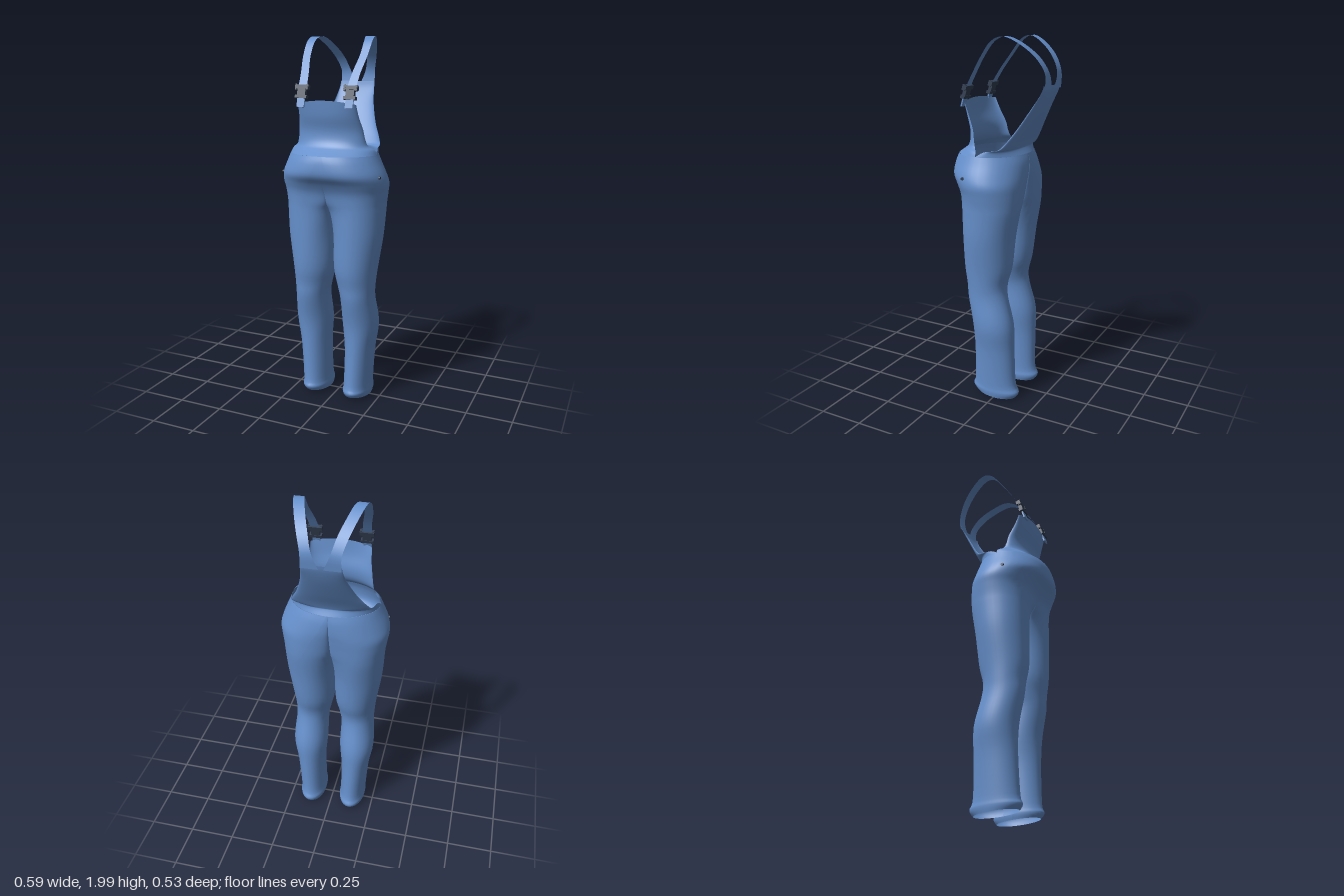
import * as THREE from 'three';

const denim = new THREE.MeshStandardMaterial({ color: 0x6690cc, side: THREE.DoubleSide });
denim.name = 'blue denim';
const dark = new THREE.MeshStandardMaterial({ color: 0x333f52 });
dark.name = 'dark buckle';

// Smoothly resample a table of rows (Catmull-Rom per column)
function resample(rows, steps) {
  const out = [], at = i => rows[Math.max(0, Math.min(rows.length - 1, i))];
  for (let i = 0; i < rows.length - 1; i++) {
    for (let s = 0; s < steps; s++) {
      const t = s / steps;
      out.push(rows[i].map((b, c) => {
        const a = at(i - 1)[c], d = at(i + 1)[c], e = at(i + 2)[c];
        return b + 0.5 * t * (d - a + t * (2 * a - 5 * b + 4 * d - e + t * (3 * (b - d) + e - a)));
      }));
    }
  }
  out.push(rows[rows.length - 1]);
  return out;
}

// Skin a list of equally long point lists
function loft(name, sections, material = denim) {
  const n = sections[0].length, index = [];
  for (let i = 0; i < sections.length - 1; i++) {
    for (let j = 0; j < n - 1; j++) {
      const a = i * n + j, b = a + n;
      index.push(a, a + 1, b, a + 1, b + 1, b);
    }
  }
  const g = new THREE.BufferGeometry();
  g.setAttribute('position', new THREE.Float32BufferAttribute(sections.flat(2), 3));
  g.setIndex(index);
  g.computeVertexNormals();
  const mesh = new THREE.Mesh(g, material);
  mesh.name = name;
  return mesh;
}

// y, inner x, middle x, outer x, front z, back z, front and back closing at the centre (0 leg, 1 torso)
const LEG = [
  [0.02, 0.05, 0.12, 0.195, 0.13, -0.11, 0, 0],
  [0.05, 0.045, 0.125, 0.2, 0.15, -0.13, 0, 0],
  [0.1, 0.05, 0.125, 0.2, 0.137, -0.11, 0, 0],
  [0.3, 0.052, 0.135, 0.215, 0.13, -0.105, 0, 0],
  [0.45, 0.04, 0.14, 0.238, 0.135, -0.1, 0, 0],
  [0.6, 0.04, 0.135, 0.228, 0.165, -0.062, 0, 0],
  [0.68, 0.025, 0.13, 0.23, 0.172, -0.055, 0, 0],
  [0.78, 0.004, 0.125, 0.24, 0.187, -0.08, 0, 0],
  [0.95, 0, 0.125, 0.265, 0.19, -0.1, 0, 0],
  [1.08, 0, 0.13, 0.274, 0.19, -0.12, 0.5, 0.4],
  [1.14, 0, 0.125, 0.278, 0.193, -0.127, 0.86, 0.65],
  [1.2, 0, 0.11, 0.287, 0.203, -0.131, 0.97, 0.78],
  [1.25, 0, 0.09, 0.294, 0.228, -0.134, 1, 0.86],
  [1.3, 0, 0.06, 0.282, 0.262, -0.135, 1, 0.93],
  [1.36, 0, 0.03, 0.256, 0.262, -0.13, 1, 0.98],
  [1.4, 0, 0.01, 0.24, 0.25, -0.12, 1, 1],
];

function legSection([y, xi, cx, xo, zf, zb, kf, kb], side) {
  const pts = [], zc = (zf + zb) / 2, r = (zf - zb) / 2;
  const Q = 7, tilt = Math.max(0, 1 - y / 0.1) * 0.1;
  const add = (x, z) => pts.push([side * x, y + tilt * z, z]);
  const inner = (s, k, dir) => {
    const c = Math.cos(s);
    add(Math.max(0, cx - (cx - xi) * Math.sin(s)), zc + dir * r * (c + (1 - c) * k));
  };
  for (let i = Q; i > 0; i--) inner(i / Q * Math.PI / 2, kf, 1);
  for (let i = 0; i <= 18; i++) {
    const a = i / 18 * Math.PI;
    add(cx + (xo - cx) * Math.sin(a), zc + r * Math.cos(a));
  }
  for (let i = 1; i <= Q; i++) inner(i / Q * Math.PI / 2, kb, -1);
  return pts;
}

// Rows of y, half width, centre z, edge z, rise of the middle
const BIB = [
  [1.4, 0.24, 0.25, 0.065, 0], [1.425, 0.228, 0.212, 0.068, 0], [1.445, 0.2, 0.188, 0.088, 0],
  [1.48, 0.188, 0.172, 0.1, 0], [1.53, 0.18, 0.17, 0.11, 0],
  [1.6, 0.167, 0.187, 0.14, 0], [1.66, 0.163, 0.196, 0.165, 0.018],
];
const BACK = [
  [1.4, 0.24, -0.12, 0.065, 0], [1.428, 0.226, -0.106, 0.02, 0], [1.44, 0.212, -0.106, -0.05, 0],
  [1.48, 0.19, -0.125, -0.09, 0], [1.55, 0.153, -0.165, -0.135, 0],
  [1.65, 0.118, -0.218, -0.195, 0], [1.72, 0.104, -0.248, -0.238, 0], [1.76, 0.1, -0.258, -0.252, 0],
];
function panel(name, rows) {
  return loft(name, resample(rows, 4).map(([y, w, zc, ze, rise]) => {
    const pts = [];
    for (let i = 0; i <= 28; i++) {
      const a = (i / 14 - 1) * Math.PI / 2, c = Math.cos(a);
      pts.push([w * Math.sin(a), y + rise * c * c, ze + (zc - ze) * c]);
    }
    return pts;
  }));
}

// Strap: inner x, outer x, y, z
const STRAP = [
  [0.012, 0.1, 1.74, -0.256], [0.045, 0.1, 1.82, -0.258], [0.07, 0.125, 1.9, -0.215],
  [0.1, 0.155, 1.965, -0.14], [0.122, 0.176, 1.998, -0.065], [0.138, 0.184, 1.975, 0],
  [0.138, 0.181, 1.9, 0.06], [0.122, 0.167, 1.82, 0.115], [0.112, 0.16, 1.745, 0.16],
];

function box(name, w, h, d, x, y, z, material) {
  const m = new THREE.Mesh(new THREE.BoxGeometry(w, h, d), material);
  m.name = name;
  m.position.set(x, y, z);
  return m;
}

function buckle(side) {
  const g = new THREE.Group();
  g.name = 'buckle';
  g.add(
    box('upperFrame', 0.075, 0.022, 0.024, 0, 0.031, 0, dark),
    box('waist', 0.046, 0.045, 0.02, 0, 0.008, 0, dark),
    box('lowerBar', 0.066, 0.016, 0.024, 0, -0.02, 0, dark),
    box('strapTab', 0.042, 0.05, 0.008, 0, -0.048, 0, denim),
  );
  for (const s of [-1, 1]) g.add(box('prong', 0.009, 0.03, 0.018, s * 0.031, 0.03, 0.004, dark));
  g.position.set(side * 0.135, 1.712, 0.173);
  g.rotation.x = -0.3;
  return g;
}

export function createModel() {
  const model = new THREE.Group();
  model.name = 'overalls';
  for (const side of [1, -1]) {
    const label = side > 0 ? 'left' : 'right';
    model.add(loft(label + 'TrouserHalf', resample(LEG, 4).map(r => legSection(r, side))));
    model.add(loft(label + 'Strap', resample(STRAP, 4).map(([a, b, y, z]) =>
      [0, 0.5, 1].map(t => [side * (a + (b - a) * t), y, z]))));
    model.add(buckle(side));
    // Small hip button
    const button = new THREE.Mesh(new THREE.CylinderGeometry(0.008, 0.008, 0.008, 10), dark);
    button.name = label + 'HipButton';
    button.rotation.z = Math.PI / 2;
    button.position.set(side * 0.277, 1.29, 0.12);
    model.add(button);
  }
  model.add(panel('bib', BIB), panel('backPanel', BACK));
  return model;
}
